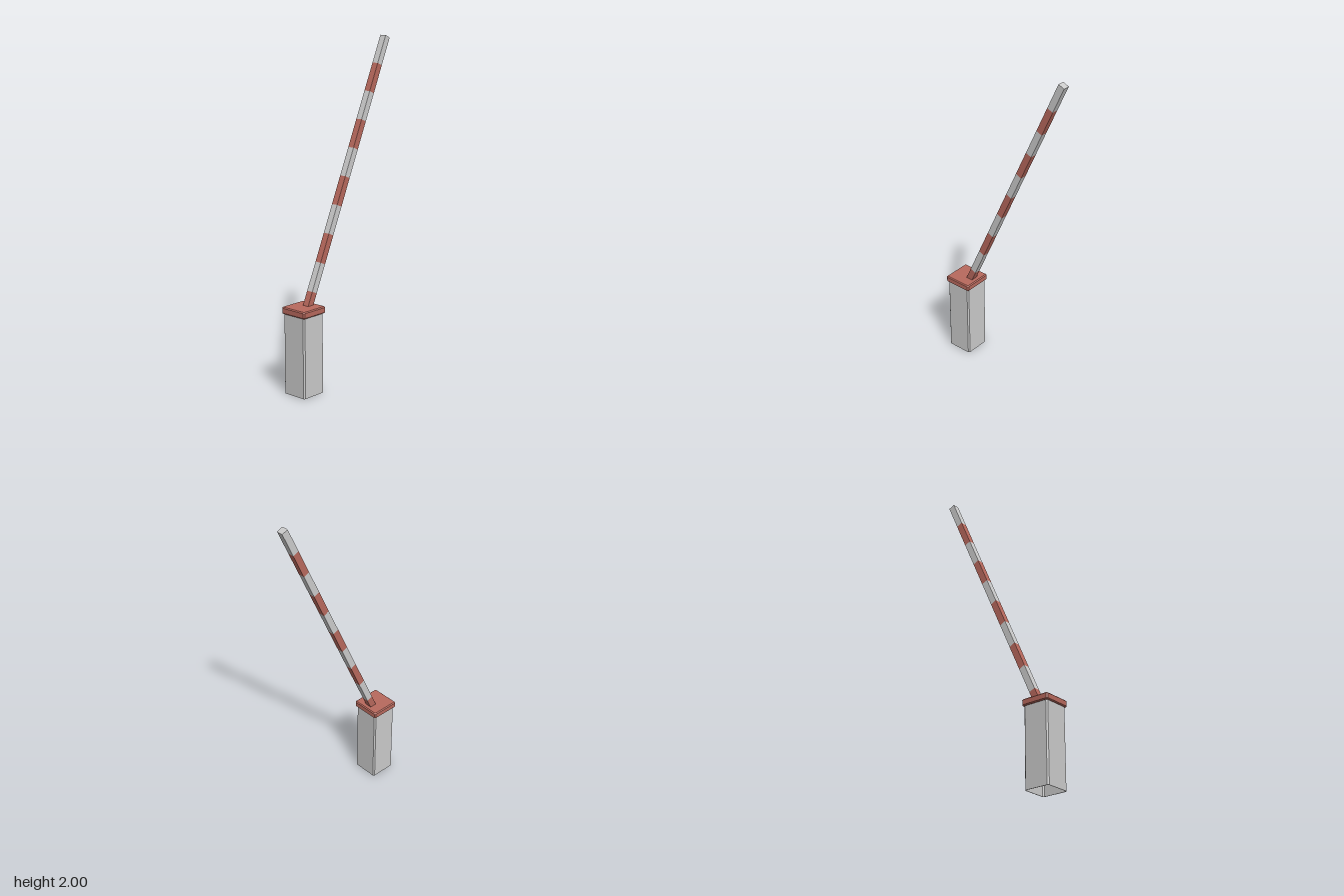
import * as THREE from 'three';

const grey = new THREE.MeshStandardMaterial({ color: 0xcccccc });
const red = new THREE.MeshStandardMaterial({ color: 0xb8695d });
const POST_X = -0.315;

// Square outline with clipped corners, h = half width, c = corner cut
function clippedSquare(h, c, Type = THREE.Shape) {
  const k = h - c;
  return new Type([[h, -k], [h, k], [k, h], [-k, h], [-h, k], [-h, -k], [-k, -h], [k, -h]]
    .map(([x, y]) => new THREE.Vector2(x, y)));
}

function addMesh(parent, name, geometry, material) {
  const mesh = new THREE.Mesh(geometry, material);
  mesh.name = name;
  parent.add(mesh);
  return mesh;
}

export function createModel() {
  const model = new THREE.Group();
  model.name = 'barrierGate';

  // Hollow post, open underneath
  const tube = clippedSquare(0.08, 0.008);
  tube.holes.push(clippedSquare(0.077, 0.007, THREE.Path));
  const postGeo = new THREE.ExtrudeGeometry(tube, { depth: 0.476, bevelEnabled: false });
  postGeo.rotateX(-Math.PI / 2);
  addMesh(model, 'post', postGeo, grey).position.x = POST_X;

  // Bevelled cap on the post
  const bevel = 0.006;
  const capGeo = new THREE.ExtrudeGeometry(clippedSquare(0.0885 - bevel, 0.004), {
    depth: 0.04 - 2 * bevel, bevelThickness: bevel, bevelSize: bevel, bevelSegments: 1,
  });
  capGeo.rotateX(-Math.PI / 2);
  addMesh(model, 'cap', capGeo, red).position.set(POST_X, 0.472 + bevel, 0);

  // Raised arm made of alternating stripes, set out from the tip downwards
  const arm = new THREE.Group();
  arm.name = 'arm';
  arm.position.set(0.384, 1.992, 0);
  arm.rotation.z = -Math.atan2(0.665, 1.49);
  const stripe = 0.1715, width = 0.04;
  const stripeGeo = new THREE.BoxGeometry(width, stripe, width);
  for (let i = 0; i < 10; i++) {
    const mesh = addMesh(arm, 'armStripe' + (i + 1), stripeGeo, i % 2 ? red : grey);
    mesh.position.y = -(i + 0.5) * stripe;
  }
  model.add(arm);

  return model;
}
